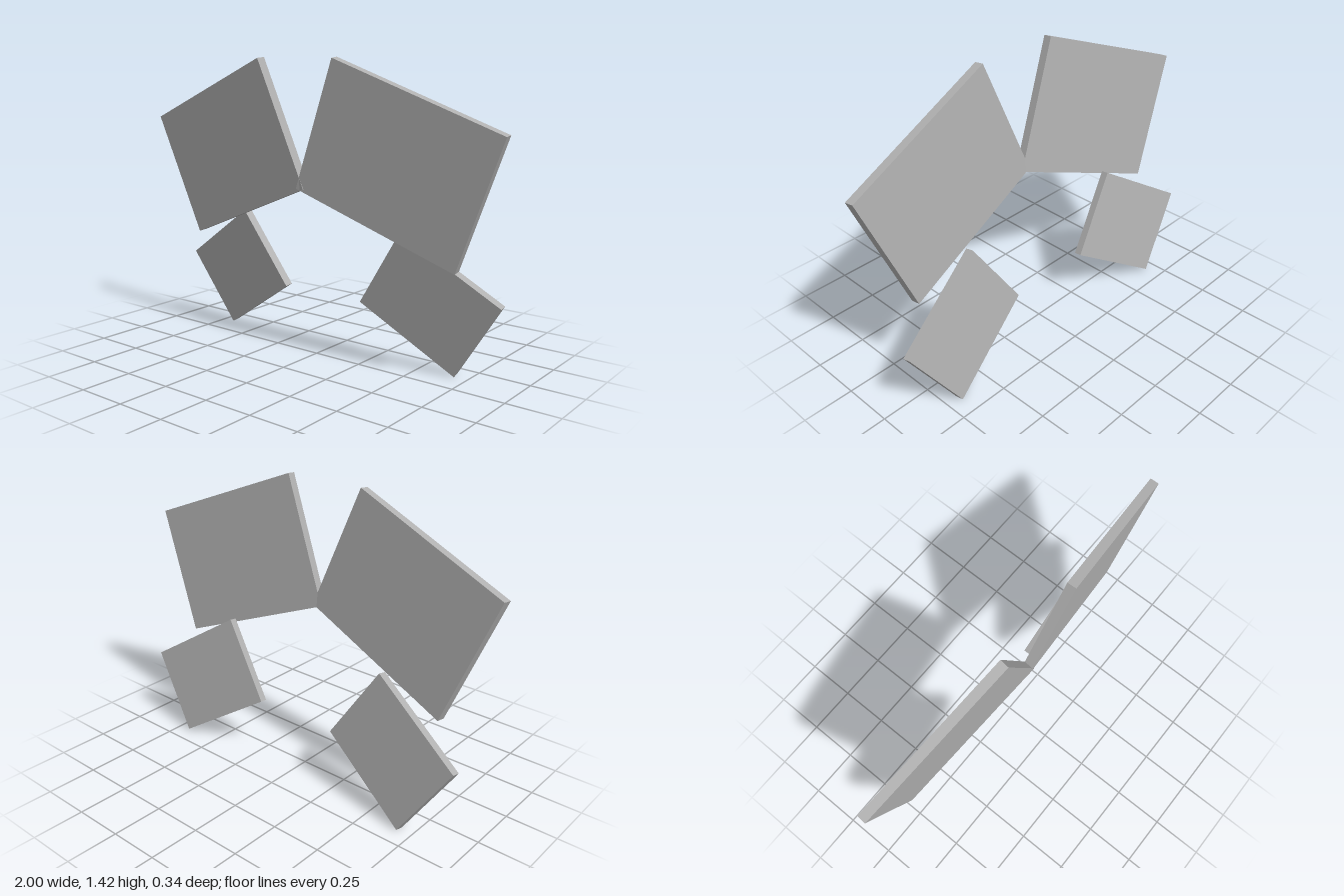
import * as THREE from 'three';

// Flat slab set by three front-face corners: inner top, outer top, outer bottom
function slab(name, innerTop, outerTop, outerBottom, depth, side, material) {
  const [a, b, c] = [innerTop, outerTop, outerBottom].map(
    ([x, y, z]) => new THREE.Vector3(x * side, y, z));
  const across = b.clone().sub(a);
  const up = b.clone().sub(c);
  const width = across.length();
  const height = up.length();
  across.normalize().multiplyScalar(side); // keeps the mirrored basis right-handed
  up.normalize();
  const normal = across.clone().cross(up).normalize();
  up.crossVectors(normal, across);

  const mesh = new THREE.Mesh(new THREE.BoxGeometry(width, height, depth), material);
  mesh.name = name;
  mesh.quaternion.setFromRotationMatrix(new THREE.Matrix4().makeBasis(across, up, normal));
  mesh.position.copy(a).add(c).multiplyScalar(0.5).addScaledVector(normal, -depth / 2);
  return mesh;
}

export function createModel() {
  const group = new THREE.Group();
  group.name = 'panelWings';
  const grey = new THREE.MeshStandardMaterial({ color: 0xb0b0b0 });
  grey.name = 'grey';

  for (const [side, label] of [[1, 'left'], [-1, 'right']]) {
    // Large upper panel, meeting its mirror image at the centre
    group.add(slab(label + 'UpperPanel',
      [0.215, 1.42, 0.17], [1.0, 1.115, 0.072], [0.764, 0.52, 0.031], 0.044, side, grey));
    // Small lower panel, set behind
    group.add(slab(label + 'LowerPanel',
      [0.468, 0.659, 0.0], [0.927, 0.368, -0.09], [0.685, 0.001, -0.13], 0.04, side, grey));
  }
  return group;
}
